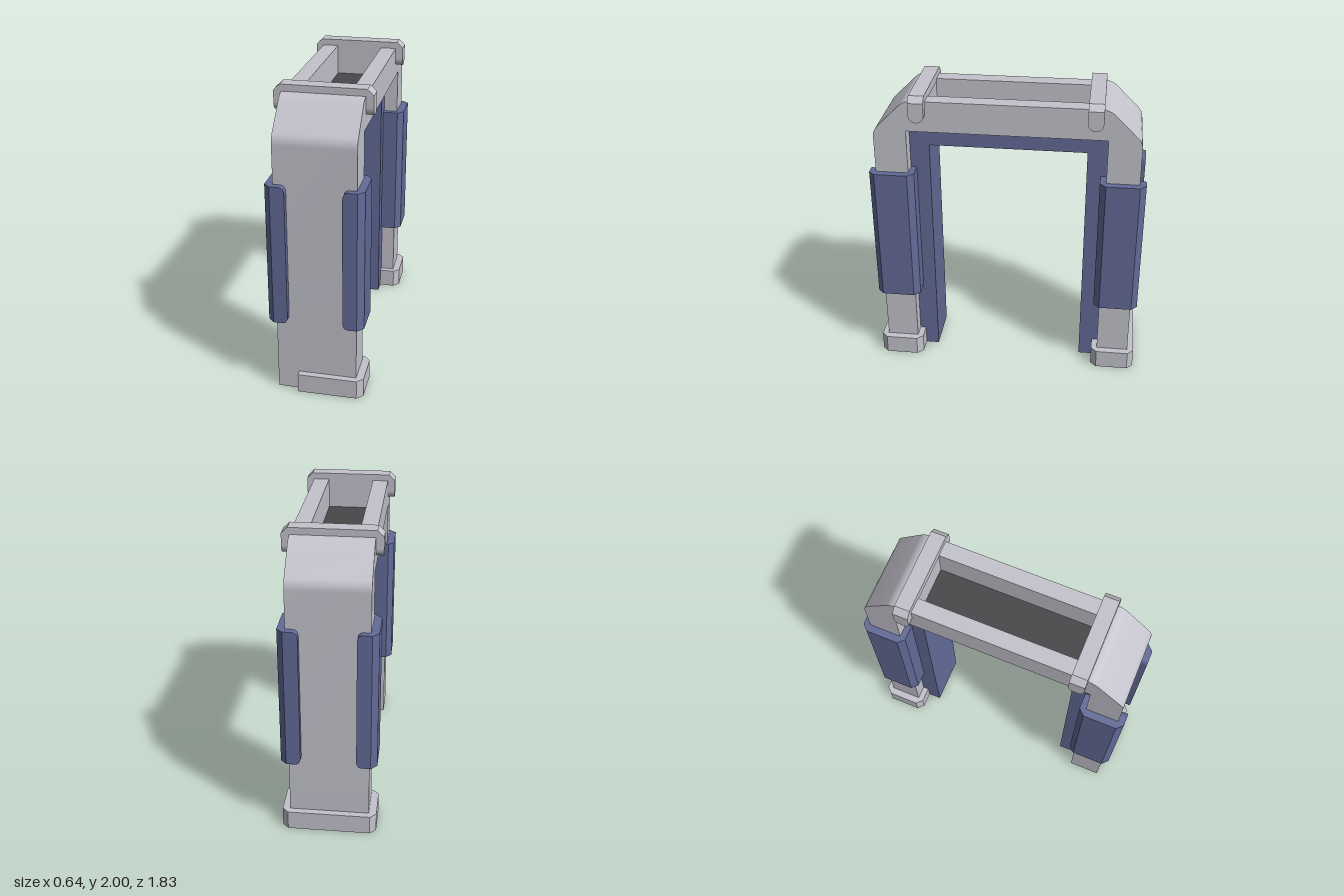
import * as THREE from 'three';
import { toCreasedNormals } from 'three/addons/utils/BufferGeometryUtils.js';

const material = (name, color) => {
  const m = new THREE.MeshStandardMaterial({ color });
  m.name = name;
  return m;
};

// Build a shape from points and extrude it, with depth starting at zero.
const toShape = (pts) => new THREE.Shape(pts.map(([a, b]) => new THREE.Vector2(a, b)));
const extrude = (shape, depth) => new THREE.ExtrudeGeometry(shape, { depth, bevelEnabled: false, curveSegments: 8 });

// Side profile (z, y) extruded across x, centred.
const across = (shape, width) => extrude(shape, width).translate(0, 0, -width / 2).rotateY(-Math.PI / 2);
// Plan section (x, z) extruded upwards from y0 to y1.
const upward = (pts, y0, y1) => extrude(toShape(pts), y1 - y0).rotateX(Math.PI / 2).translate(0, y1, 0);

export function createModel() {
  const grey = material('light grey', 0xc4c3cd);
  const blue = material('slate blue', 0x636b98);
  const dark = material('dark grey', 0x47474a);

  const model = new THREE.Group();
  model.name = 'archFrame';
  const body = new THREE.Group();
  body.name = 'body';
  body.rotation.y = 0.011; // slight yaw
  model.add(body);

  const add = (parent, name, geometry, mat) => {
    const mesh = new THREE.Mesh(toCreasedNormals(geometry, 0.5), mat);
    mesh.name = name;
    parent.add(mesh);
    return mesh;
  };

  // One leg with its pads, foot and top clamp; z points outward.
  const makeLeg = (name, fullFoot) => {
    const leg = new THREE.Group();
    leg.name = name;

    // Column with a softened chamfer at the shoulder
    const column = new THREE.Shape();
    column.moveTo(0.65, 0);
    column.lineTo(0.867, 0);
    column.lineTo(0.867, 1.70);
    column.quadraticCurveTo(0.867, 1.745, 0.835, 1.776);
    column.lineTo(0.685, 1.925);
    column.quadraticCurveTo(0.65, 1.957, 0.6, 1.957);
    column.lineTo(0.52, 1.957);
    column.lineTo(0.52, 1.75);
    column.lineTo(0.65, 1.75);
    add(leg, 'column', across(column, 0.52), grey);

    // Corner pads wrapping the column on both sides
    for (const s of [1, -1]) {
      const section = [[0.24, 0.91], [0.27, 0.91], [0.31, 0.87], [0.31, 0.65],
        [0.27, 0.61], [0.165, 0.61], [0.165, 0.8], [0.24, 0.8]];
      add(leg, 'cornerPad', upward(section.map(([x, z]) => [s * x, z]), 0.51, 1.45), blue);
      const lip = new THREE.Shape();
      lip.moveTo(s * 0.24, 0.51);
      lip.lineTo(s * 0.24, 1.45);
      lip.lineTo(s * 0.215, 1.45);
      lip.quadraticCurveTo(s * 0.178, 1.45, s * 0.178, 1.40);
      lip.lineTo(s * 0.178, 0.56);
      lip.quadraticCurveTo(s * 0.178, 0.51, s * 0.215, 0.51);
      add(leg, 'padLip', extrude(lip, 0.05).translate(0, 0, 0.86), blue);
    }

    // Foot, either wrapped right round or on one side only
    const half = [[0.27, 0.61], [0.31, 0.65], [0.31, 0.87], [0.27, 0.91]];
    const rest = fullFoot
      ? half.map(([x, z]) => [-x, z]).reverse()
      : [[-0.12, 0.91], [-0.12, 0.8], [0.15, 0.7], [0.15, 0.61]];
    add(leg, 'foot', upward([...half, ...rest], 0, 0.13), grey);

    // Clamp over the top with rounded ends
    const clamp = [[-0.31, 1.88], [-0.31, 1.962], [-0.27, 2], [0.27, 2], [0.31, 1.962],
      [0.31, 1.88], [0.25, 1.88], [0.25, 1.94], [-0.25, 1.94], [-0.25, 1.88]];
    add(leg, 'clamp', extrude(toShape(clamp), 0.1).translate(0, 0, 0.518), grey);
    for (const s of [1, -1]) {
      const end = new THREE.CylinderGeometry(0.05, 0.05, 0.06, 16, 1, false, 0, Math.PI)
        .rotateZ(Math.PI / 2).rotateX(Math.PI / 2);
      // Keep the half that hangs below the clamp side
      end.computeBoundingBox();
      if (end.boundingBox.max.y > 0.01) end.rotateX(end.boundingBox.min.y < -0.01 ? Math.PI / 2 : Math.PI);
      add(leg, 'clampEnd', end.translate(s * 0.28, 1.88, 0.568), grey);
    }
    body.add(leg);
    return leg;
  };

  makeLeg('frontLeg', false);
  makeLeg('backLeg', true).rotation.y = Math.PI;

  // Rails joining the two legs, with an open trough between them
  for (const s of [1, -1]) {
    add(body, 'topRail', new THREE.BoxGeometry(0.105, 0.207, 1.04).translate(s * 0.2075, 1.8535, 0), grey);
  }
  add(body, 'troughFloor', new THREE.BoxGeometry(0.31, 0.008, 1.04).translate(0, 1.752, 0), dark);

  // Inner liner following the arch
  const liner = toShape([[-0.65, 0], [-0.65, 1.75], [0.65, 1.75], [0.65, 0],
    [0.52, 0], [0.52, 1.615], [-0.52, 1.615], [-0.52, 0]]);
  add(body, 'innerLiner', across(liner, 0.33), blue);

  return model;
}
